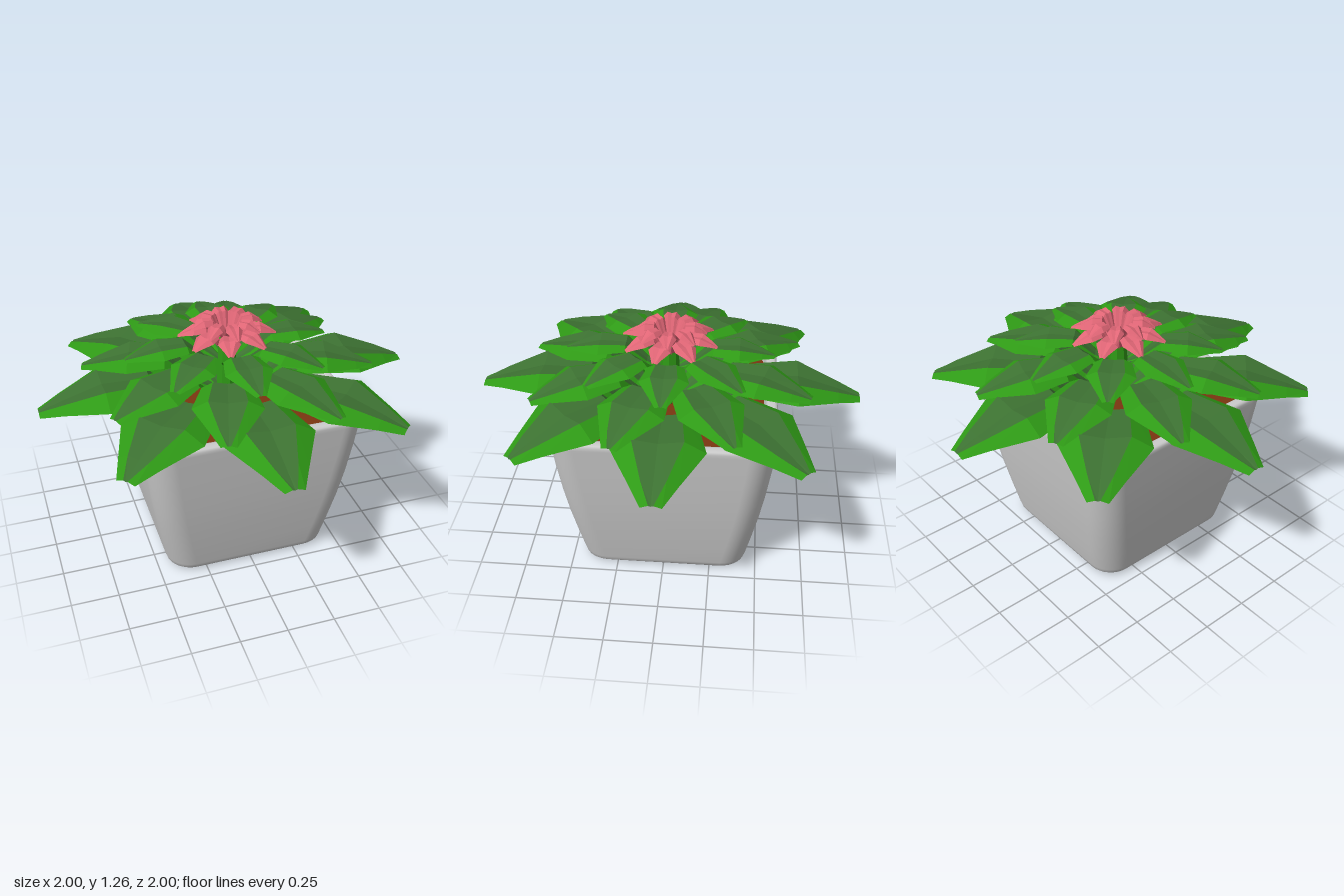
import * as THREE from 'three';

const paint = (color, extra = {}) => new THREE.MeshStandardMaterial({ color, ...extra });
const leafPaint = (color) => paint(color, { flatShading: true, side: THREE.DoubleSide });

// Grid of points (rows of equal length) to an indexed surface
function surface(rows, closed) {
  const n = rows[0].length, index = [];
  for (let i = 0; i < rows.length - 1; i++) {
    for (let j = 0; j < (closed ? n : n - 1); j++) {
      const k = (j + 1) % n;
      const a = i * n + j, b = i * n + k, c = (i + 1) * n + k, d = (i + 1) * n + j;
      index.push(a, d, b, b, d, c);
    }
  }
  const geo = new THREE.BufferGeometry();
  geo.setAttribute('position', new THREE.Float32BufferAttribute(rows.flat(2), 3));
  geo.setIndex(index);
  geo.computeVertexNormals();
  return geo;
}

// Horizontal rounded square of given half width, height and corner radius
function roundedSquare(half, y, radius) {
  const pts = [], steps = 8, r = Math.min(radius, half);
  for (let q = 0; q < 4; q++) {
    const mid = (q + 0.5) * Math.PI / 2;
    const cx = Math.sign(Math.cos(mid)) * (half - r), cz = Math.sign(Math.sin(mid)) * (half - r);
    for (let i = 0; i <= steps; i++) {
      const a = (q + i / steps) * Math.PI / 2;
      pts.push([cx + r * Math.cos(a), y, cz + r * Math.sin(a)]);
    }
  }
  return pts;
}

// Leaf stations: distance, height, half width, half width of the inner panel
const STATIONS = [
  [0.05, -1.8, 0.04, 0.025],
  [0.22, -0.9, 0.10, 0.055],
  [0.42, 0.9, 0.17, 0.095],
  [0.67, 1.0, 0.23, 0.125],
  [0.88, 0.4, 0.115, 0.06],
  [1.00, 0.0, 0.05, 0.012],
];

// Leaf along +x: folded midrib, inner panel and drooping border
function leafParts(length, rise) {
  const rows = STATIONS.map(([t, h, w, wi]) => {
    const fold = rise * w / 0.23;
    const at = (side, drop) => [t * length, h * rise - drop * fold, side * length];
    return [at(-w, 0.5), at(-wi, 0), at(0, 0.15), at(wi, 0), at(w, 0.5)];
  });
  const strip = (from, to) => surface(rows.map((r) => r.slice(from, to)), false);
  return { rightBorder: strip(0, 2), innerPanel: strip(1, 4), leftBorder: strip(3, 5) };
}

// Ring of eight leaves
function whorl(name, leafName, { length, rise, tipY, turn }, border, inner) {
  const group = new THREE.Group();
  group.name = name;
  const parts = leafParts(length, rise);
  for (let i = 0; i < 8; i++) {
    const leaf = new THREE.Group();
    leaf.name = leafName;
    for (const [part, geo] of Object.entries(parts)) {
      const mesh = new THREE.Mesh(geo, part === 'innerPanel' ? inner : border);
      mesh.name = part;
      leaf.add(mesh);
    }
    leaf.rotation.y = THREE.MathUtils.degToRad(turn + i * 45);
    group.add(leaf);
  }
  group.position.y = tipY;
  return group;
}

export function createModel() {
  const model = new THREE.Group();
  model.name = 'pottedPlant';
  const add = (name, geo, mat) => {
    const mesh = new THREE.Mesh(geo, mat);
    mesh.name = name;
    model.add(mesh);
    return mesh;
  };

  // Pot: underside, bulging wall, rounded rim, inner wall
  const potProfile = [
    [0.001, 0, 0.001], [0.38, 0, 0.1], [0.40, 0, 0.11], [0.425, 0.008, 0.12], [0.44, 0.024, 0.13],
    [0.449, 0.05, 0.14], [0.475, 0.18, 0.14], [0.505, 0.34, 0.14], [0.53, 0.5, 0.14],
    [0.553, 0.68, 0.14], [0.57, 0.84, 0.14], [0.572, 0.86, 0.14], [0.567, 0.872, 0.135],
    [0.555, 0.876, 0.13], [0.53, 0.876, 0.11], [0.518, 0.872, 0.1], [0.512, 0.86, 0.1],
    [0.507, 0.84, 0.1], [0.49, 0.72, 0.1],
  ];
  add('pot', surface(potProfile.map((p) => roundedSquare(...p)), true), paint(0xcccccc));

  // Soil
  add('soil', surface([roundedSquare(0.51, 0.81, 0.1), roundedSquare(0.001, 0.82, 0.001)], true),
    paint(0x7a3510, { flatShading: true }));

  // Stem
  const border = leafPaint(0x2f9a16), inner = leafPaint(0x3d7232), pink = leafPaint(0xe06676);
  add('stem', new THREE.CylinderGeometry(0.045, 0.06, 0.34, 8), border).position.y = 0.96;

  // Three tiers of leaves
  const tiers = [
    ['lowerLeaves', { length: 1.0, rise: 0.12, tipY: 0.88, turn: 0 }],
    ['middleLeaves', { length: 0.765, rise: 0.085, tipY: 0.985, turn: 28 }],
    ['upperLeaves', { length: 0.54, rise: 0.055, tipY: 1.1, turn: 0 }],
  ];
  for (const [name, tier] of tiers) model.add(whorl(name, 'leaf', tier, border, inner));

  // Two rings of petals
  model.add(whorl('outerPetals', 'petal', { length: 0.255, rise: 0.047, tipY: 1.165, turn: 32 }, pink, pink));
  model.add(whorl('innerPetals', 'petal', { length: 0.19, rise: 0.047, tipY: 1.213, turn: 0 }, pink, pink));
  return model;
}
